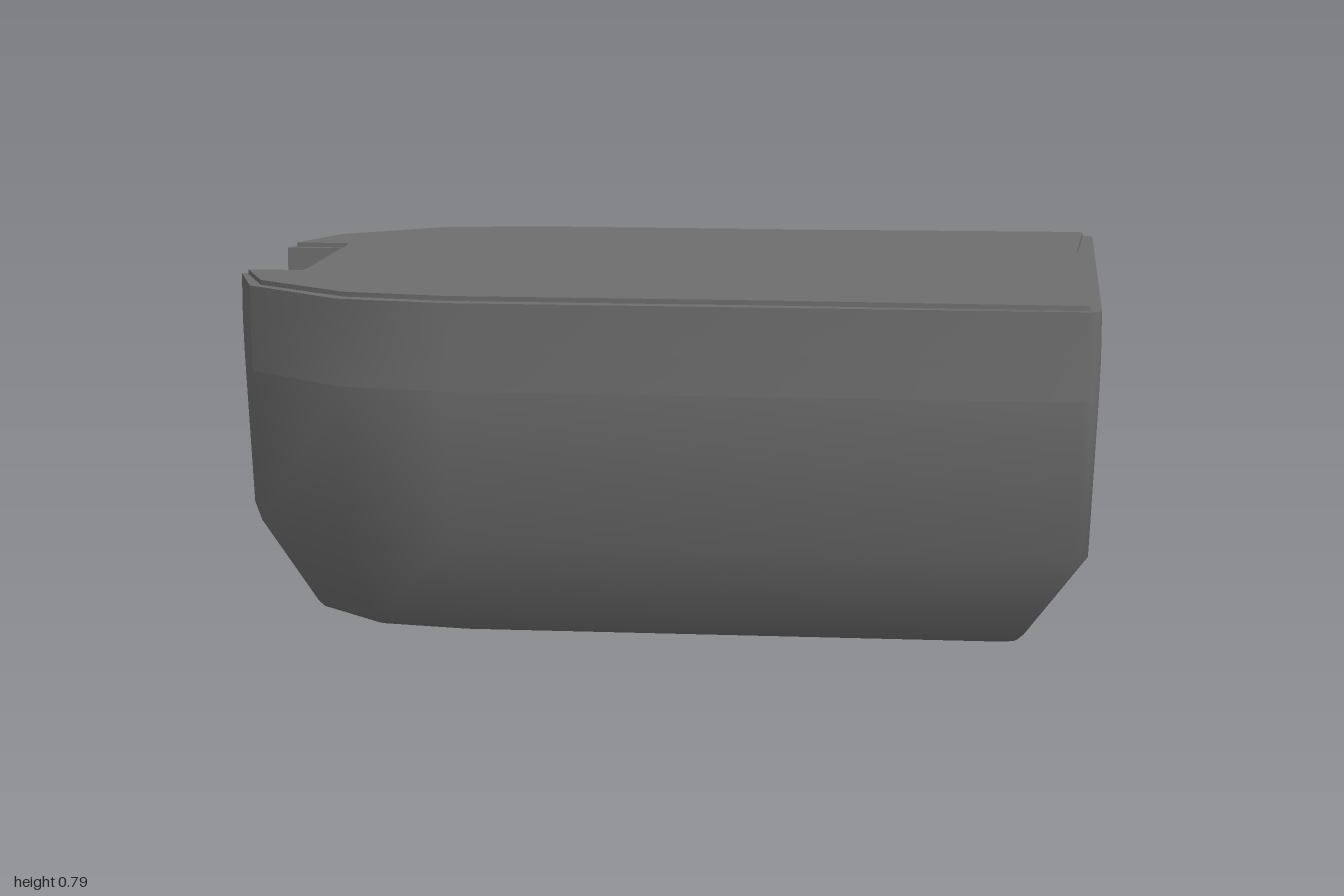
import * as THREE from 'three';
import { mergeVertices, toCreasedNormals } from 'three/addons/utils/BufferGeometryUtils.js';

const RIM = 0.778, TOP = 0.789, FLOOR = 0.67;

// Mirrors a half outline (z > 0, running from -x to +x) into a full one.
const mirrored = (half) => [...half, ...half.map(([x, z]) => [x, -z]).reverse()];

// Flat shape in the x/z plane facing up.
function flat(points, y, hole) {
  const path = (pts) => pts.map(([x, z]) => new THREE.Vector2(x, -z));
  const shape = new THREE.Shape(path(points));
  if (hole) shape.holes.push(new THREE.Path(path(hole)));
  return new THREE.ShapeGeometry(shape).rotateX(-Math.PI / 2).translate(0, y, 0);
}

// Skin between stacked loops [y, points]; isOpen(row, i) leaves a quad out.
function skin(loops, crease, isOpen = () => false) {
  const n = loops[0][1].length, pos = [], idx = [];
  for (const [y, pts] of loops) for (const [x, z] of pts) pos.push(x, y, z);
  for (let r = 0; r < loops.length - 1; r++) {
    for (let i = 0; i < n; i++) {
      if (isOpen(r, i)) continue;
      const a = r * n + i, b = r * n + ((i + 1) % n);
      idx.push(a, b, b + n, a, b + n, a + n);
    }
  }
  const g = new THREE.BufferGeometry();
  g.setAttribute('position', new THREE.Float32BufferAttribute(pos, 3));
  g.setIndex(idx);
  return toCreasedNormals(mergeVertices(g), crease);
}

export function createModel() {
  const model = new THREE.Group();
  const material = new THREE.MeshStandardMaterial({ color: 0x6e6e6e, side: THREE.DoubleSide });
  const add = (name, geometry) => {
    const mesh = new THREE.Mesh(geometry, material);
    mesh.name = name;
    model.add(mesh);
  };

  const outline = mirrored([
    [-1, 0.25], [-0.93, 0.47], [-0.69, 0.67], [-0.44, 0.718],
    [0.97, 0.718], [0.985, 0.714], [0.996, 0.703], [1, 0.688],
  ]);
  // Narrowed outline; the ends draw in more than the middle
  const narrowed = (sx, sz) => outline.map(([x, z]) => [x * (1 - (1 - sx) * x * x), z * sz]);

  // Lower body: rounded bottom edge, sloping band and tapering walls in one soft surface
  const bottom = narrowed(0.81, 0.74), shoulder = narrowed(0.997, 0.998);
  add('bodyLowerWall', skin([
    [0, bottom],
    [0.006, narrowed(0.829, 0.765)],
    [0.022, narrowed(0.845, 0.785)],
    [0.23, narrowed(0.981, 0.979)],
    [0.58, shoulder],
  ], 0.85));
  add('bodyBottom', flat(bottom, 0).rotateX(Math.PI));

  // Upper body: crisper edges on the tapered end, open where the recess is cut
  const last = outline.length - 1;
  add('bodyUpperWall', skin([[0.58, shoulder], [FLOOR, outline], [RIM, outline]], 0.55,
    (row, i) => row === 1 && i === last));

  // Recess cut into the tapered end
  const recess = [[-1, 0.25], [-0.865, 0.25], [-0.865, -0.25], [-1, -0.25]];
  add('recessFloor', flat(recess, FLOOR));
  add('recessWall', skin([[RIM, recess], [FLOOR, recess]], 0.5, (row, i) => i === 3));

  // Lid plate, slightly inset, with its own wider cut-out
  const lid = mirrored([
    [-0.828, 0.07], [-0.85, 0.268], [-0.98, 0.268], [-0.908, 0.455], [-0.68, 0.635], [-0.44, 0.682],
    [0.3, 0.682], [0.955, 0.7], [0.975, 0.692], [0.957, 0.3],
  ]);
  add('lidEdge', skin([[RIM, lid], [TOP, lid]], 0.5));
  add('lidTop', flat(lid, TOP));

  // Rim ledge between the wall, the recess and the lid
  add('rim', flat([...outline, [-0.865, -0.25], [-0.865, 0.25]], RIM, lid));
  return model;
}
